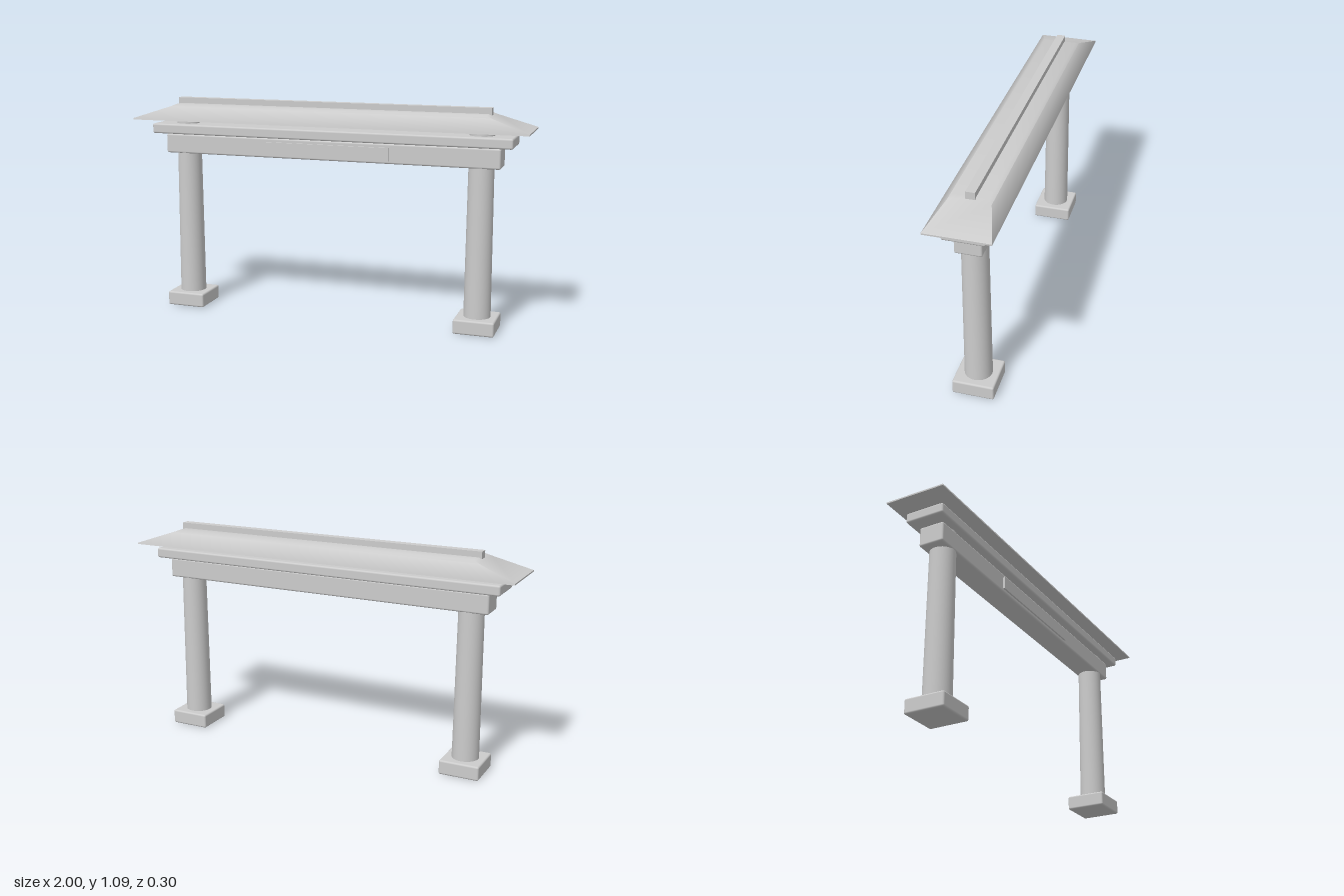
import * as THREE from 'three';
import { toCreasedNormals } from 'three/addons/utils/BufferGeometryUtils.js';
import { RoundedBoxGeometry } from 'three/addons/geometries/RoundedBoxGeometry.js';

// Hipped solid from rectangular rings [halfX, y, halfZ], bottom to top
function hippedSolid(rings) {
  const corners = [[-1, 1], [1, 1], [1, -1], [-1, -1]];
  const positions = rings.flatMap(([hx, y, hz]) => corners.flatMap(([sx, sz]) => [sx * hx, y, sz * hz]));
  const index = [0, 2, 1, 0, 3, 2]; // underside
  for (let i = 0; i < rings.length - 1; i++) {
    for (let j = 0; j < 4; j++) {
      const a = i * 4 + j, b = i * 4 + (j + 1) % 4;
      index.push(a, b, b + 4, a, b + 4, a + 4);
    }
  }
  const t = (rings.length - 1) * 4;
  index.push(t, t + 1, t + 2, t, t + 2, t + 3); // flat top
  const geometry = new THREE.BufferGeometry();
  geometry.setAttribute('position', new THREE.Float32BufferAttribute(positions, 3));
  geometry.setIndex(index);
  return toCreasedNormals(geometry, 0.8);
}

export function createModel() {
  const model = new THREE.Group();
  model.name = 'gateway';
  const stone = new THREE.MeshStandardMaterial({ color: 0xcccccc });
  stone.name = 'light grey stone';

  const add = (name, geometry, x, y, z) => {
    const mesh = new THREE.Mesh(geometry, stone);
    mesh.name = name;
    mesh.position.set(x, y, z);
    model.add(mesh);
  };
  const softBox = (w, h, d) => new RoundedBoxGeometry(w, h, d, 2, 0.009);

  // Pillars on square bases, rising through both beams
  for (const [side, s] of [['left', 1], ['right', -1]]) {
    add(side + 'Base', softBox(0.2, 0.072, 0.2), s * 0.76, 0.037, 0);
    add(side + 'Pillar', new THREE.CylinderGeometry(0.06, 0.066, 0.9, 32), s * 0.76, 0.52, 0);
  }

  // Cross beams and front plaque
  add('lowerBeam', softBox(1.72, 0.098, 0.126), 0, 0.855, 0);
  add('upperBeam', softBox(1.84, 0.05, 0.196), 0, 0.933, 0);
  add('plaque', new THREE.BoxGeometry(0.65, 0.064, 0.02), 0, 0.853, 0.062);

  // Hipped roof with softened top edge, and ridge beam
  add('roof', hippedSolid([
    [1, 0.981, 0.15], [1, 0.988, 0.15], [0.815, 1.049, 0.095], [0.79, 1.06, 0.08],
  ]), 0, 0, 0);
  add('ridgeBeam', new THREE.BoxGeometry(1.61, 0.037, 0.043), 0, 1.0695, 0);

  return model;
}
